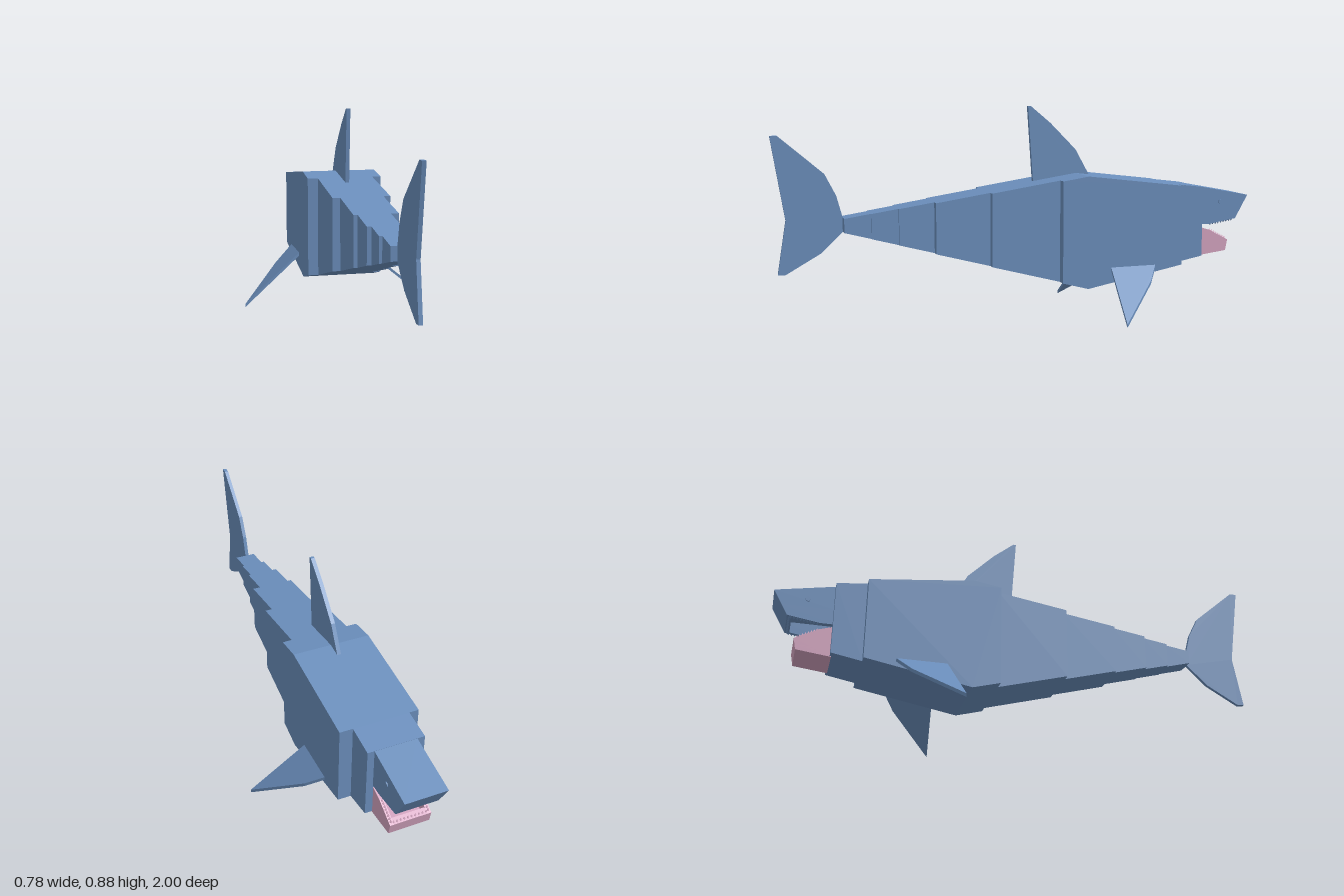
import * as THREE from 'three';

const blue = new THREE.MeshStandardMaterial({ color: 0x6c90be });
blue.name = 'sharkBlue';
const pink = new THREE.MeshStandardMaterial({ color: 0xd6a6c2 });
pink.name = 'jawPink';

function add(group, name, geometry, material) {
  const mesh = new THREE.Mesh(geometry, material);
  mesh.name = name;
  group.add(mesh);
  return mesh;
}

// Side outline of [z, y] points, extruded across x from x0 to x1
function slab(points, x0, x1) {
  const shape = new THREE.Shape(points.map(([z, y]) => new THREE.Vector2(-z, y)));
  return new THREE.ExtrudeGeometry(shape, { depth: x1 - x0, bevelEnabled: false })
    .rotateY(Math.PI / 2).translate(x0, 0, 0);
}

// Height of a polyline of [z, y] points at z
function heightAt(line, z) {
  for (let i = 1; i < line.length; i++) {
    const [z0, y0] = line[i - 1], [z1, y1] = line[i];
    if (z <= z1) return y0 + (y1 - y0) * (z - z0) / (z1 - z0);
  }
  return line[line.length - 1][1];
}

const backLine = [[-0.77, 0.535], [-0.23, 0.602], [0.735, 0.459]];
const bellyLine = [[-0.77, 0.24], [-0.23, 0.142], [0.735, 0.404]];

// Row of small teeth from a to b; height is negative for teeth pointing down
function teeth(group, name, a, b, count, height, material) {
  for (let i = 0; i < count; i++) {
    const p = a.clone().lerp(b, (i + 0.5) / count);
    const cone = new THREE.ConeGeometry(0.006, Math.abs(height), 4);
    if (height < 0) cone.rotateX(Math.PI);
    cone.translate(p.x, p.y + height / 2, p.z);
    add(group, name, cone, material);
  }
}

// Fin outline of [x, z] points, sloping down away from the body
function sideFin(points, rootX, rootY, slope) {
  const shape = new THREE.Shape(points.map(([x, z]) => new THREE.Vector2(x, -z)));
  const geo = new THREE.ExtrudeGeometry(shape, { depth: 0.014, bevelEnabled: false })
    .rotateX(-Math.PI / 2);
  const pos = geo.attributes.position;
  for (let i = 0; i < pos.count; i++) {
    pos.setY(i, pos.getY(i) + rootY - 0.007 - slope * (Math.abs(pos.getX(i)) - rootX));
  }
  geo.computeVertexNormals();
  return geo;
}

export function createModel() {
  const shark = new THREE.Group();
  shark.name = 'shark';

  // Stepped body: [z start, z end, x min, x max]
  const steps = [
    [-0.77, -0.65, -0.11, 0.115],
    [-0.65, -0.12, -0.148, 0.167],
    [-0.12, 0.165, -0.105, 0.13],
    [0.165, 0.385, -0.074, 0.102],
    [0.385, 0.525, -0.058, 0.071],
    [0.525, 0.63, -0.041, 0.062],
    [0.63, 0.735, -0.029, 0.055],
  ];
  steps.forEach(([z0, z1, x0, x1], i) => {
    const zs = [z0, ...(z0 < -0.23 && z1 > -0.23 ? [-0.23] : []), z1];
    const outline = [
      ...zs.map(z => [z, heightAt(backLine, z)]),
      ...zs.slice().reverse().map(z => [z, heightAt(bellyLine, z)]),
    ];
    add(shark, 'bodySegment' + (i + 1), slab(outline, x0, x1), blue);
  });

  // Head: solid crown, with side and snout walls around the hollow mouth
  const head = new THREE.Group();
  head.name = 'head';
  shark.add(head);
  const hx0 = -0.08, hx1 = 0.088, wall = 0.016;
  add(head, 'crown', slab([[-0.765, 0.535], [-1, 0.49], [-0.967, 0.432], [-0.765, 0.432]], hx0, hx1), blue);
  const cheek = [[-0.765, 0.432], [-0.967, 0.432], [-0.943, 0.39], [-0.82, 0.371], [-0.765, 0.371]];
  add(head, 'rightCheek', slab(cheek, hx0, hx0 + wall), blue);
  add(head, 'leftCheek', slab(cheek, hx1 - wall, hx1), blue);
  add(head, 'snout', slab([[-0.925, 0.432], [-0.967, 0.432], [-0.943, 0.39], [-0.925, 0.387]],
    hx0 + wall, hx1 - wall), blue);
  for (const x of [hx0 + 0.008, hx1 - 0.008]) {
    teeth(head, 'upperTooth', new THREE.Vector3(x, 0.373, -0.82),
      new THREE.Vector3(x, 0.389, -0.935), 9, -0.01, blue);
  }
  teeth(head, 'upperFrontTooth', new THREE.Vector3(hx0 + 0.01, 0.39, -0.935),
    new THREE.Vector3(hx1 - 0.01, 0.39, -0.935), 10, -0.01, blue);

  // Eyes
  for (const x of [hx0, hx1]) {
    add(head, 'eye', new THREE.CylinderGeometry(0.01, 0.01, 0.008, 12)
      .rotateZ(Math.PI / 2).translate(x, 0.466, -0.87), blue);
  }

  // Lower jaw: an open tray with toothed rims
  const jaw = new THREE.Group();
  jaw.name = 'lowerJaw';
  shark.add(jaw);
  const jx0 = -0.078, jx1 = 0.086;
  add(jaw, 'jawFloor', slab([[-0.765, 0.28], [-0.895, 0.272], [-0.9, 0.252], [-0.765, 0.236]], jx0, jx1), pink);
  const rim = [[-0.765, 0.362], [-0.82, 0.345], [-0.909, 0.298], [-0.9, 0.252], [-0.765, 0.236]];
  add(jaw, 'rightJawWall', slab(rim, jx0, jx0 + wall), pink);
  add(jaw, 'leftJawWall', slab(rim, jx1 - wall, jx1), pink);
  add(jaw, 'jawFront', slab([[-0.885, 0.308], [-0.909, 0.298], [-0.9, 0.252], [-0.885, 0.25]],
    jx0 + wall, jx1 - wall), pink);
  for (const x of [jx0 + 0.008, jx1 - 0.008]) {
    teeth(jaw, 'lowerTooth', new THREE.Vector3(x, 0.343, -0.82),
      new THREE.Vector3(x, 0.3, -0.903), 8, 0.012, pink);
  }
  teeth(jaw, 'lowerFrontTooth', new THREE.Vector3(jx0 + 0.01, 0.299, -0.9),
    new THREE.Vector3(jx1 - 0.01, 0.299, -0.9), 10, 0.012, pink);

  // Upright fins
  add(shark, 'dorsalFin', slab([
    [-0.045, 0.56], [-0.023, 0.88], [-0.035, 0.88], [-0.12, 0.81], [-0.23, 0.7], [-0.292, 0.59], [-0.292, 0.56],
  ], -0.004, 0.012), blue);
  add(shark, 'tailFin', slab([
    [1, 0.779], [0.972, 0.779], [0.8, 0.63], [0.757, 0.545], [0.735, 0.462], [0.733, 0.405],
    [0.82, 0.322], [0.957, 0.245], [0.985, 0.247], [0.95, 0.455],
  ], -0.004, 0.011), blue);

  // Pectoral fins
  add(shark, 'leftPectoralFin', sideFin(
    [[0.13, -0.55], [0.168, -0.527], [0.23, -0.48], [0.39, -0.305], [0.168, -0.33], [0.13, -0.335]],
    0.168, 0.217, 0.82), blue);
  add(shark, 'rightPectoralFin', sideFin(
    [[-0.11, -0.55], [-0.148, -0.527], [-0.23, -0.478], [-0.395, -0.305], [-0.148, -0.33], [-0.11, -0.335]],
    0.148, 0.222, 0.87), blue);

  return shark;
}
